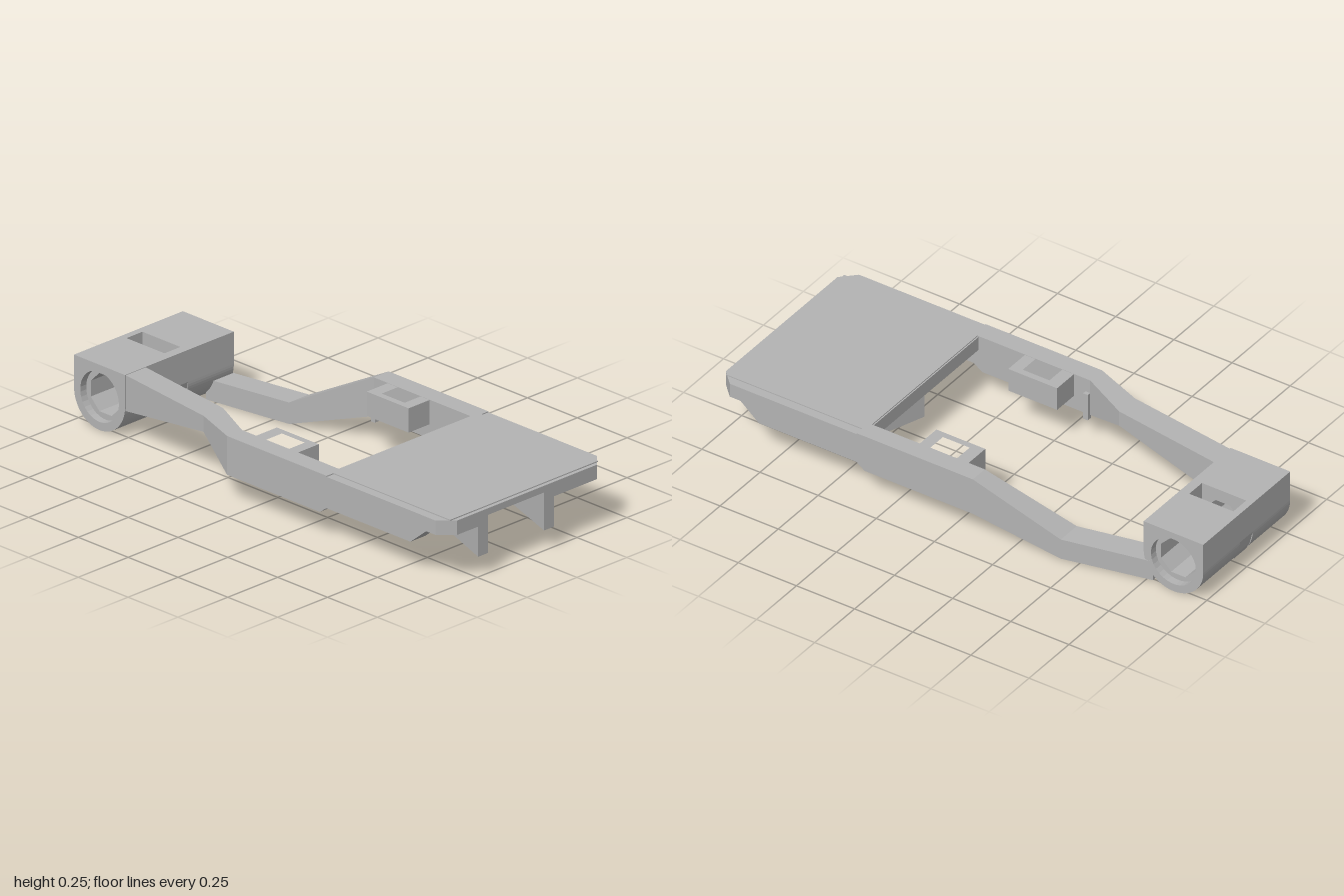
import * as THREE from 'three';

const grey = new THREE.MeshStandardMaterial({ color: 0xb3b3b3 });
grey.name = 'grey';

const toShape = (pts) => new THREE.Shape(pts.map(([a, b]) => new THREE.Vector2(a, b)));

// Plan outline of [x, z] points, extruded from y0 to y1
function planGeometry(pts, y0, y1, holes = []) {
  const s = toShape(pts.map(([x, z]) => [x, -z]));
  holes.forEach((h) => s.holes.push(new THREE.Path(h.map(([x, z]) => new THREE.Vector2(x, -z)))));
  const g = new THREE.ExtrudeGeometry(s, { depth: y1 - y0, bevelEnabled: false });
  return g.rotateX(-Math.PI / 2).translate(0, y0, 0);
}

// Side profile in (-z, y), extruded from x0 to x1
function sideGeometry(shape, x0, x1) {
  const g = new THREE.ExtrudeGeometry(shape, { depth: x1 - x0, bevelEnabled: false, curveSegments: 20 });
  return g.rotateY(Math.PI / 2).translate(x0, 0, 0);
}

const rect = (x0, x1, z0, z1) => [[x0, z0], [x1, z0], [x1, z1], [x0, z1]];

// Rectangular sections [z, x0, x1, yBottom, yTop], listed from front to back
function loft(sections) {
  const rings = sections.map(([z, x0, x1, yb, yt]) => [[x0, yb, z], [x1, yb, z], [x1, yt, z], [x0, yt, z]]);
  const pos = [];
  const quad = (a, b, c, d) => pos.push(...a, ...b, ...c, ...a, ...c, ...d);
  quad(...rings[0]);
  for (let i = 0; i < rings.length - 1; i++) {
    const p = rings[i], q = rings[i + 1];
    for (let k = 0; k < 4; k++) {
      const n = (k + 1) % 4;
      quad(p[k], q[k], q[n], p[n]);
    }
  }
  quad(...rings[rings.length - 1].slice().reverse());
  const g = new THREE.BufferGeometry();
  g.setAttribute('position', new THREE.Float32BufferAttribute(pos, 3));
  g.computeVertexNormals();
  return g;
}

export function createModel() {
  const model = new THREE.Group();
  const add = (name, geometry) => {
    const m = new THREE.Mesh(geometry, grey);
    m.name = name;
    model.add(m);
  };

  // Front plate with chamfered corners and a slightly raised panel
  add('plate', planGeometry(
    [[-0.405, 0.38], [0.405, 0.38], [0.405, 0.945], [0.35, 1], [-0.35, 1], [-0.405, 0.945]], 0.225, 0.251));
  add('platePanel', planGeometry(rect(-0.37, 0.37, 0.385, 0.985), 0.251, 0.255));

  // Lower layer of the plate, open between the clip legs
  add('plateUnderside', planGeometry([
    [-0.405, 0.38], [0.405, 0.38], [0.405, 0.945], [0.35, 1], [0.085, 1],
    [0.27, 0.55], [0.01, 0.45], [-0.195, 1], [-0.35, 1], [-0.405, 0.945]], 0.195, 0.225));

  // Skewed U-shaped clip below the plate
  add('clip', planGeometry([
    [0.315, 0.52], [0.135, 1], [0.085, 1], [0.245, 0.55],
    [0.01, 0.46], [-0.195, 1], [-0.245, 1], [-0.02, 0.4]], 0.078, 0.226));

  // Shallow ring under the plate
  const ring = new THREE.TorusGeometry(0.1, 0.008, 6, 28).rotateX(Math.PI / 2).translate(0.03, 0.225, 0.73);
  add('undersideRing', ring);

  for (const s of [-1, 1]) {
    const span = (a, b) => (s > 0 ? [a, b] : [-b, -a]);

    // Side rails
    const [r0, r1] = span(0.33, 0.405);
    add('sideRail', sideGeometry(toShape(
      [[-0.4, 0.13], [-0.365, 0.105], [0.1, 0.105], [0.1, 0.255], [-0.4, 0.255]]), r0, r1));
    add('lowerRail', sideGeometry(toShape(
      [[-0.9, 0.196], [-0.82, 0.13], [-0.38, 0.13], [-0.38, 0.196]]), r0, r1));

    // Small tabs where rails meet the arms
    const [t0, t1] = span(0.315, 0.335);
    add('railTab', planGeometry(rect(t0, t1, -0.1, -0.08), 0.09, 0.2));

    // Square sockets on the inner side of the rails
    const [b0, b1] = span(0.225, 0.36);
    const [h0, h1] = span(0.25, 0.345);
    add('socket', planGeometry(rect(b0, b1, -0.03, 0.18), 0.16, 0.254, [rect(h0, h1, 0.02, 0.135)]));
  }

  // Upper arm on the right, lower cranked arm on the left
  add('rightArm', loft([
    [-0.1, -0.405, -0.33, 0.105, 0.255],
    [-0.29, -0.333, -0.235, 0.19, 0.252],
    [-0.75, -0.27, -0.17, 0.11, 0.25]]));
  add('leftArm', loft([
    [-0.1, 0.33, 0.405, 0.105, 0.255],
    [-0.43, 0.235, 0.335, 0.002, 0.085],
    [-0.78, 0.168, 0.268, 0.01, 0.09]]));

  // Hinge block: round below, square above, bored along x
  const cz = 0.87, cy = 0.128, R = 0.128;
  const hingeProfile = (r, sides) => {
    const s = new THREE.Shape();
    s.moveTo(cz - R, 0.252);
    s.lineTo(cz - R, cy);
    s.absarc(cz, cy, R, Math.PI, Math.PI * 2, false);
    s.lineTo(cz + R, 0.252);
    s.closePath();
    const hole = [];
    for (let i = 0; i < sides; i++) {
      const a = ((i + 0.5) / sides) * Math.PI * 2;
      hole.push(new THREE.Vector2(cz + r * Math.cos(a), cy + r * Math.sin(a)));
    }
    s.holes.push(new THREE.Path(hole));
    return s;
  };
  const wide = hingeProfile(0.097, 32), narrow = hingeProfile(0.08, 8);
  add('hingeEnd', sideGeometry(wide, -0.275, -0.245));
  add('hingeBody', sideGeometry(narrow, -0.245, -0.04));
  add('hingeBody', sideGeometry(narrow, 0.04, 0.24));
  add('hingeEnd', sideGeometry(wide, 0.24, 0.27));

  // Walls in front of and behind the vertical slot
  add('slotFrontWall', sideGeometry(toShape(
    [[0.742, 0.252], [0.742, 0.128], [0.755, 0.075], [0.78, 0.045], [0.78, 0.252]]), -0.04, 0.04));
  add('slotBackWall', sideGeometry(toShape(
    [[0.97, 0.252], [0.97, 0.045], [0.985, 0.075], [0.998, 0.128], [0.998, 0.252]]), -0.04, 0.04));

  return model;
}
